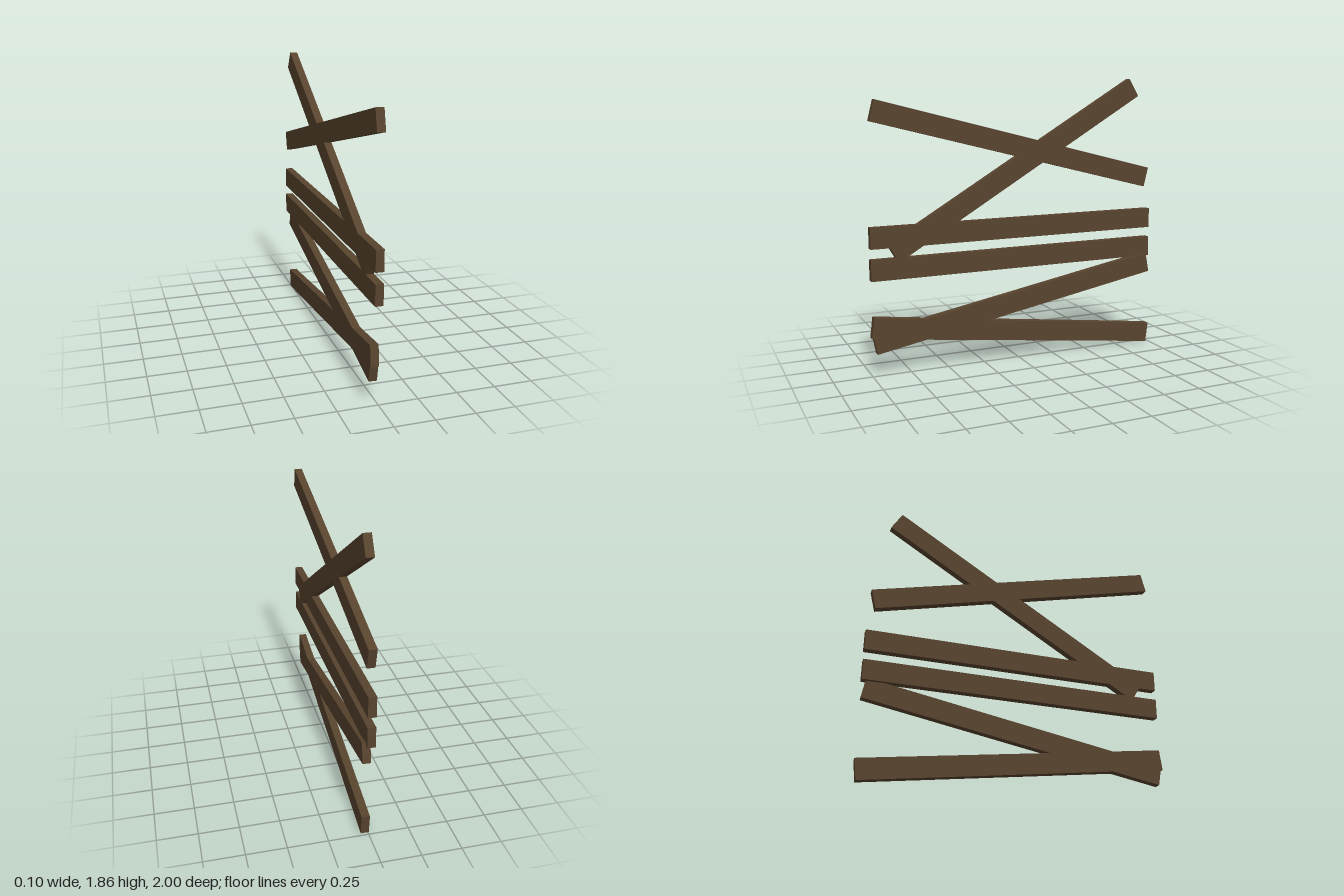
import * as THREE from 'three';

const HEIGHT = 0.134;
const THICKNESS = 0.051;

// Each plank runs between the centres of its front and back ends: [x, y, z]
const PLANKS = [
  ['topFallingPlank', [-0.004, 1.665, 0.97], [-0.003, 1.187, -0.967]],
  ['topRisingPlank', [-0.004, 0.78, 0.855], [-0.003, 1.805, -0.855]],
  ['upperLevelPlank', [-0.004, 0.885, 0.999], [-0.003, 0.897, -0.999]],
  ['lowerLevelPlank', [-0.004, 0.683, 0.999], [-0.003, 0.695, -0.999]],
  ['bottomRisingPlank', [-0.024, 0.207, 0.979], [0.02, 0.583, -0.979]],
  ['bottomFallingPlank', [-0.024, 0.313, 0.992], [0.02, 0.068, -0.989]],
];

// A board laid along the line from its back end to its front end
function makePlank(name, front, back, material) {
  const a = new THREE.Vector3(...front);
  const b = new THREE.Vector3(...back);
  const plank = new THREE.Mesh(
    new THREE.BoxGeometry(THICKNESS, HEIGHT, a.distanceTo(b)),
    material
  );
  plank.name = name;
  plank.position.copy(a).add(b).multiplyScalar(0.5);
  plank.lookAt(a);
  return plank;
}

export function createModel() {
  const group = new THREE.Group();
  group.name = 'plankBarricade';
  const wood = new THREE.MeshStandardMaterial({ color: 0x58442e });
  wood.name = 'dark brown wood';
  for (const [name, front, back] of PLANKS) {
    group.add(makePlank(name, front, back, wood));
  }
  return group;
}
